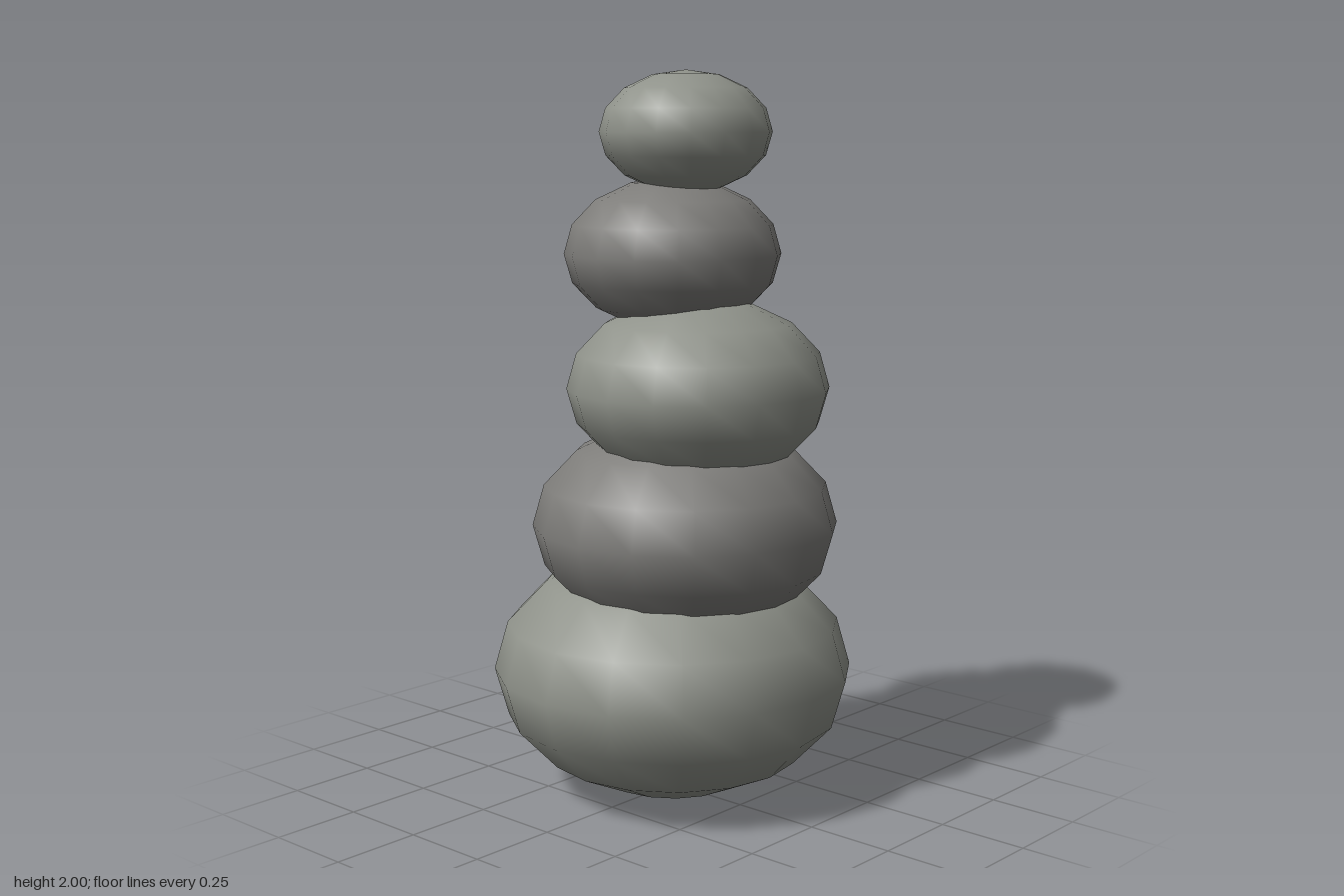
import * as THREE from 'three';

// Stones from bottom to top: sideways offset, centre height, radius
const STONES = [
  { x: 0, y: 0.352, r: 0.5 },
  { x: 0.046, y: 0.768, r: 0.421 },
  { x: 0.093, y: 1.151, r: 0.358 },
  { x: 0, y: 1.51, r: 0.296 },
  { x: 0.047, y: 1.837, r: 0.233 },
];
const FLATTEN = 0.7;

export function createModel() {
  const group = new THREE.Group();
  group.name = 'stoneStack';

  // Two alternating stone tones
  const tones = [0x8f928a, 0x7d7c79].map((color) => new THREE.MeshStandardMaterial({ color }));

  // Flattened round stones, each resting slightly sunk into the one below
  STONES.forEach(({ x, y, r }, i) => {
    const geometry = new THREE.SphereGeometry(r, 16, 8);
    geometry.scale(1, FLATTEN, 1);
    const stone = new THREE.Mesh(geometry, tones[i % 2]);
    stone.name = `stone${i + 1}`;
    stone.position.set(x, y, 0);
    group.add(stone);
  });

  return group;
}
